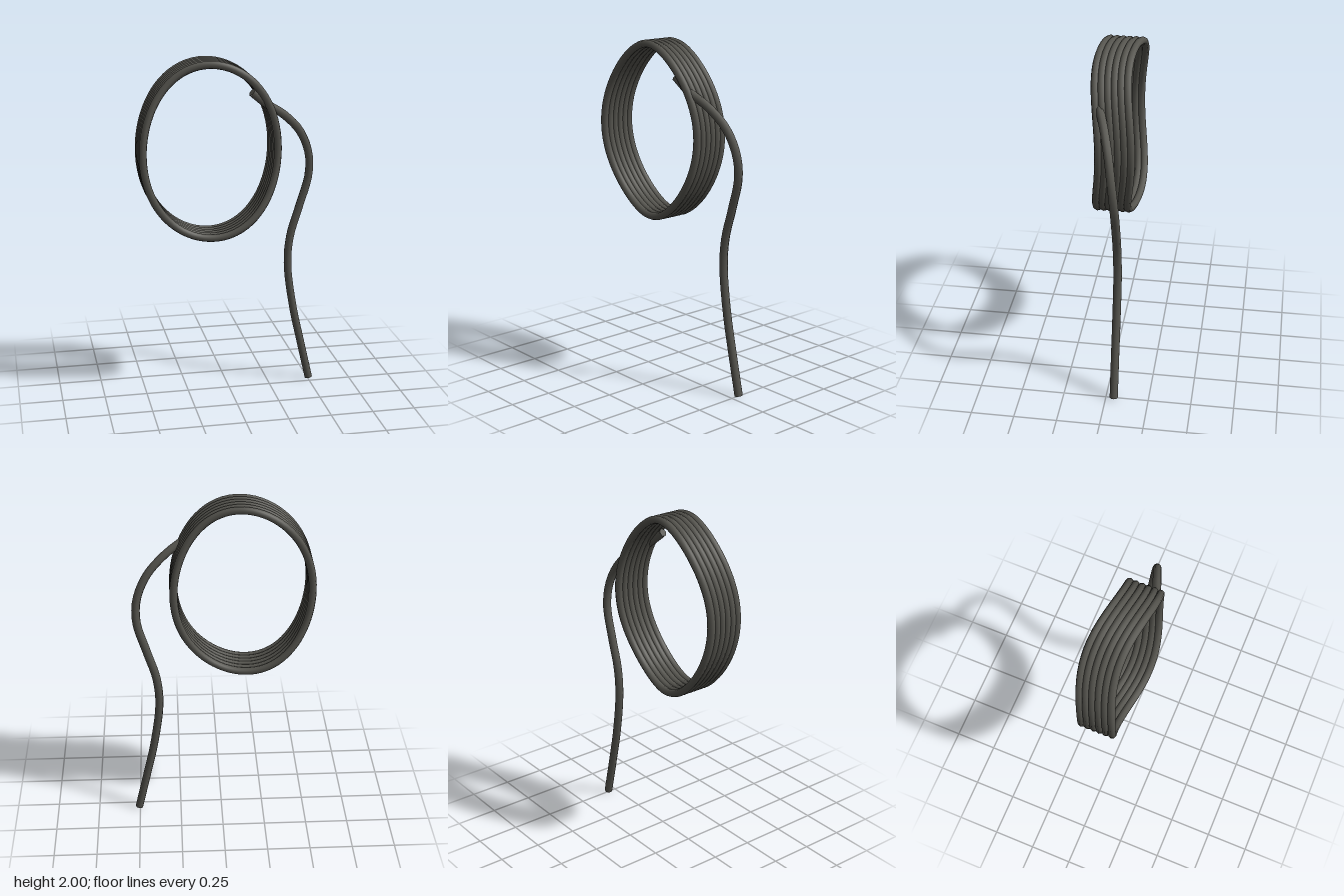
import * as THREE from 'three';

const SIDES = 8;

// One coil loop: an ellipse that waves gently in depth
class LoopCurve extends THREE.Curve {
  constructor(z) {
    super();
    this.z = z;
  }
  getPoint(t, target = new THREE.Vector3()) {
    const a = t * Math.PI * 2;
    return target.set(
      -0.12 + 0.39 * Math.cos(a),
      1.478 + 0.5 * Math.sin(a),
      this.z - 0.02 * Math.cos(3 * a)
    );
  }
}

export function createModel() {
  const group = new THREE.Group();
  const rope = new THREE.MeshStandardMaterial({ color: 0x56554f });
  rope.name = 'dark rope';

  function add(geometry, name) {
    const mesh = new THREE.Mesh(geometry, rope);
    mesh.name = name;
    group.add(mesh);
    return mesh;
  }

  // Six loops packed side by side
  for (let i = 0; i < 6; i++) {
    const loop = new LoopCurve((i - 2.5) * 0.036);
    add(new THREE.TubeGeometry(loop, 80, 0.022, SIDES, false), 'coilLoop' + (i + 1));
  }

  // Loose tail hanging from the coil
  const tail = new THREE.CatmullRomCurve3([
    [0.113, 1.818, 0.09],
    [0.2, 1.745, 0.072],
    [0.31, 1.672, 0.033],
    [0.415, 1.565, -0.005],
    [0.475, 1.43, -0.03],
    [0.482, 1.29, -0.045],
    [0.43, 1.1, -0.05],
    [0.378, 0.92, -0.05],
    [0.365, 0.75, -0.05],
    [0.4, 0.48, -0.048],
    [0.45, 0.25, -0.047],
    [0.506, 0.006, -0.047],
  ].map((p) => new THREE.Vector3(...p)));
  const radius = 0.024;
  add(new THREE.TubeGeometry(tail, 48, radius, SIDES, false), 'looseTail');

  // Flat cut ends of the tail
  for (const t of [0, 1]) {
    const cap = add(new THREE.CircleGeometry(radius, SIDES), t ? 'tailEndLower' : 'tailEndUpper');
    const outward = tail.getTangentAt(t).multiplyScalar(t ? 1 : -1);
    cap.position.copy(tail.getPointAt(t));
    cap.quaternion.setFromUnitVectors(new THREE.Vector3(0, 0, 1), outward);
  }

  return group;
}
